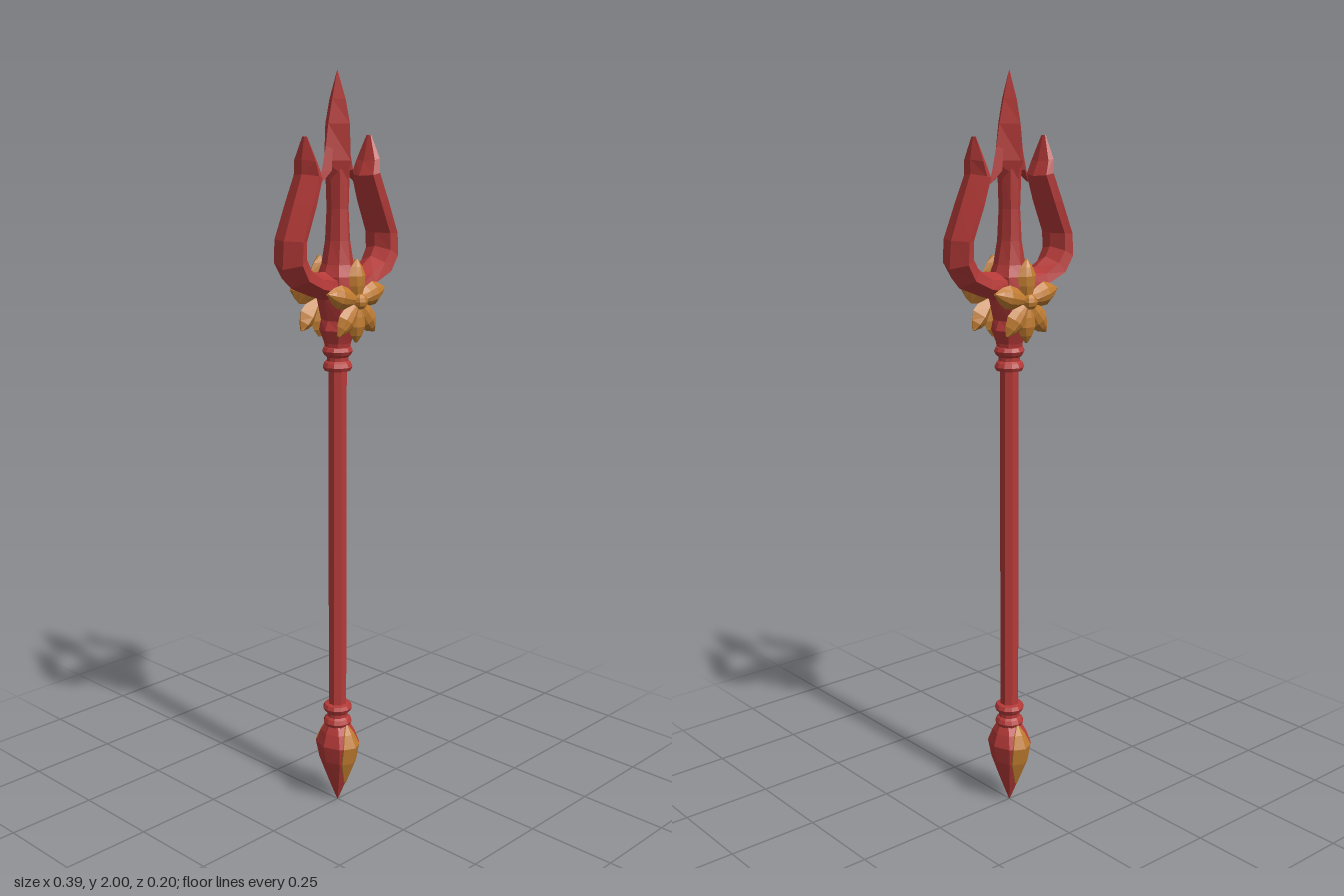
import * as THREE from 'three';

const red = new THREE.MeshStandardMaterial({ name: 'crimson', color: 0xb43a38, flatShading: true });
const gold = new THREE.MeshStandardMaterial({ name: 'gold', color: 0xc07c30, flatShading: true });

function add(group, name, geometry, material) {
  const mesh = new THREE.Mesh(geometry, material);
  mesh.name = name;
  group.add(mesh);
  return mesh;
}

// Skin a list of equal-length rings of [x, y, z], capped at both ends.
function loft(rings) {
  const n = rings[0].length;
  const tris = [];
  for (let i = 0; i < rings.length - 1; i++) {
    for (let j = 0; j < n; j++) {
      const k = (j + 1) % n;
      const [a, b, c, d] = [rings[i][j], rings[i][k], rings[i + 1][k], rings[i + 1][j]];
      tris.push([a, b, c], [a, c, d]);
    }
  }
  const first = rings[0], last = rings[rings.length - 1];
  for (let j = 1; j < n - 1; j++) {
    tris.push([first[0], first[j + 1], first[j]], [last[0], last[j], last[j + 1]]);
  }
  // A negative volume means the faces point inward, so turn them round
  const o = new THREE.Vector3(...first[0]);
  let volume = 0;
  for (const t of tris) {
    const [a, b, c] = t.map((p) => new THREE.Vector3(...p).sub(o));
    volume += a.dot(b.cross(c));
  }
  if (volume < 0) tris.forEach((t) => t.reverse());
  const g = new THREE.BufferGeometry();
  g.setAttribute('position', new THREE.Float32BufferAttribute(tris.flat(2), 3));
  g.computeVertexNormals();
  return g;
}

// Upright column from rows of [y, x radius, z radius]
function column(rows, sides) {
  return loft(rows.map(([y, rx, rz]) => Array.from({ length: sides }, (_, j) => {
    const a = (j / sides) * Math.PI * 2;
    return [Math.cos(a) * rx, y, Math.sin(a) * rz];
  })));
}

// Double ring moulding around the shaft
function collar(group, name, y) {
  const profile = [[0.024, -0.032], [0.035, -0.03], [0.04, -0.02], [0.035, -0.009], [0.029, -0.004],
    [0.029, 0.006], [0.036, 0.012], [0.041, 0.022], [0.036, 0.032], [0.024, 0.035]];
  const points = profile.map(([r, h]) => new THREE.Vector2(r, h));
  add(group, name, new THREE.LatheGeometry(points, 12), red).position.y = y;
}

// Curved side prong: [outer x, outer y, inner x, inner y, half depth]
const prongRows = [
  [0.02, 1.42, 0.02, 1.50, 0.04], [0.10, 1.445, 0.09, 1.505, 0.047],
  [0.165, 1.47, 0.125, 1.53, 0.05], [0.195, 1.52, 0.14, 1.555, 0.052],
  [0.19, 1.59, 0.14, 1.59, 0.052], [0.155, 1.68, 0.105, 1.67, 0.05],
  [0.127, 1.75, 0.08, 1.738, 0.045], [0.127, 1.785, 0.096, 1.775, 0.038],
  [0.118, 1.84, 0.113, 1.84, 0.008],
];
function prong(side) {
  return loft(prongRows.map(([ox, oy, ix, iy, z]) => {
    const at = (t, depth) => [side * (ox + (ix - ox) * t), oy + (iy - oy) * t, depth];
    return [at(0, 0), at(0.35, z), at(0.75, z * 0.85), at(1, 0), at(0.75, -z * 0.85), at(0.35, -z)];
  }));
}

// Plump pointed petal along +x: [distance, half width, z centre, half thickness]
function petal() {
  const rows = [[0.006, 0.012, 0.07, 0.012], [0.04, 0.027, 0.07, 0.018], [0.065, 0.031, 0.069, 0.02],
    [0.088, 0.02, 0.067, 0.015], [0.107, 0.003, 0.066, 0.005]];
  return loft(rows.map(([r, w, z, t]) => [
    [r, w, z], [r, w * 0.5, z + t * 0.75], [r, 0, z + t], [r, -w * 0.5, z + t * 0.75], [r, -w, z], [r, 0, z - t],
  ]));
}

function flower() {
  const g = new THREE.Group();
  g.name = 'flower';
  const shape = petal();
  for (const degrees of [90, 14, 166, -52, 232, -90]) {
    add(g, 'petal', shape, gold).rotation.z = THREE.MathUtils.degToRad(degrees);
  }
  const bead = add(g, 'flowerCentre', new THREE.SphereGeometry(0.021, 8, 6), gold);
  bead.position.z = 0.079;
  g.position.y = 1.43;
  return g;
}

// Thin diamond plate hugging the pommel's ridge: [y, half width, pommel x radius, pommel z radius]
function inlay(side) {
  const rows = [[0.06, 0.003, 0.022, 0.028], [0.13, 0.028, 0.046, 0.056],
    [0.18, 0.031, 0.056, 0.066], [0.215, 0.018, 0.045, 0.05], [0.24, 0.003, 0.033, 0.034]];
  return loft(rows.map(([y, w, rx, rz]) => {
    const edge = rz * (1 - 0.414 * w / rx);
    const [outer, inner] = [0.004, -0.003];
    return [[w, y, side * (edge + outer)], [0, y, side * (rz + outer)], [-w, y, side * (edge + outer)],
      [-w, y, side * (edge + inner)], [0, y, side * (rz + inner)], [w, y, side * (edge + inner)]];
  }));
}

export function createModel() {
  const model = new THREE.Group();
  model.name = 'trident';

  // Shaft and its mouldings
  const shaft = add(model, 'shaft', new THREE.CylinderGeometry(0.026, 0.026, 1.0, 8), red);
  shaft.position.y = 0.76;
  shaft.rotation.y = Math.PI / 8;
  collar(model, 'lowerCollar', 0.264);
  collar(model, 'upperCollar', 1.272);

  // Faceted pommel with a gold inlay on front and back
  add(model, 'pommel', column([[0, 0.001, 0.001], [0.06, 0.022, 0.028], [0.13, 0.046, 0.056],
    [0.18, 0.056, 0.066], [0.215, 0.045, 0.05], [0.245, 0.03, 0.03]], 8), red);
  for (const s of [1, -1]) add(model, 'pommelInlay', inlay(s), gold);

  // Hub with flared crown, rising into the neck of the middle prong
  add(model, 'hub', column([[1.29, 0.032, 0.032], [1.315, 0.034, 0.036], [1.35, 0.046, 0.05],
    [1.375, 0.036, 0.05], [1.43, 0.048, 0.06], [1.49, 0.05, 0.055], [1.52, 0.038, 0.045],
    [1.58, 0.026, 0.038], [1.66, 0.022, 0.034], [1.76, 0.026, 0.036]], 8), red);

  // Diamond spear head with two swept-back barbs
  add(model, 'spearHead', column([[1.735, 0.026, 0.036], [1.78, 0.048, 0.046], [1.87, 0.033, 0.043],
    [1.93, 0.019, 0.028], [2, 0.001, 0.001]], 4), red);
  for (const s of [1, -1]) {
    add(model, 'spearBarb', loft([[1.725, 0.058, 0.064, 0.003], [1.755, 0.02, 0.057, 0.017],
      [1.82, 0.015, 0.041, 0.012]].map(([y, inner, outer, z]) => [
      [s * outer, y, 0], [s * (inner + outer) / 2, y, z], [s * inner, y, 0], [s * (inner + outer) / 2, y, -z],
    ])), red);
    add(model, s > 0 ? 'leftProng' : 'rightProng', prong(s), red);
  }

  // Flowers on front and back
  const front = flower();
  const back = flower();
  back.rotation.y = Math.PI;
  model.add(front, back);

  return model;
}
